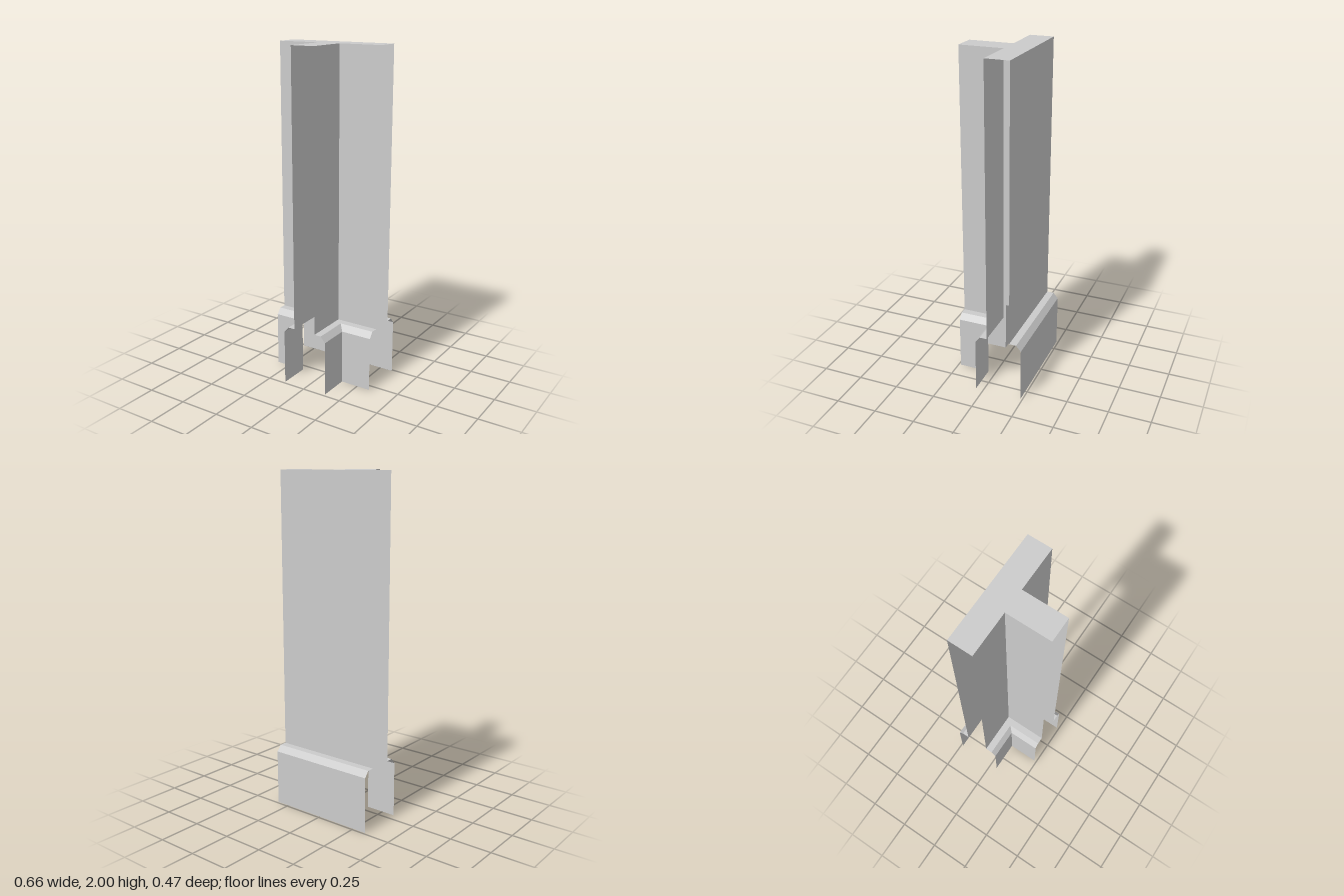
import * as THREE from 'three';

const material = new THREE.MeshStandardMaterial({ color: 0xcccccc, side: THREE.DoubleSide, flatShading: true });

// Plan dimensions of the T: cross wall along x, stem towards +z
const HALF_LENGTH = 0.332, STEM = 0.071, BACK = -0.166, FRONT = -0.025, STEM_END = 0.236;

// Vertical profiles as [distance out from the wall, height]
const wallProfile = [[0, 2], [0, 0.365]];
const skirtingProfile = [[0, 0.365], [0.043, 0.365], [0.072, 0.33], [0.072, 0]];

// Plan paths: x, z and the outward offset direction (diagonal at mitred corners)
const paths = {
  back: [[HALF_LENGTH, BACK, 0, -1], [-HALF_LENGTH, BACK, 0, -1]],
  leftCorner: [[STEM, STEM_END, 1, 0], [STEM, FRONT, 1, 1], [HALF_LENGTH, FRONT, 0, 1]],
  rightCorner: [[-HALF_LENGTH, FRONT, 0, 1], [-STEM, FRONT, -1, 1], [-STEM, STEM_END, -1, 0]],
};

// Sweep a profile along a plan path, with flat faces
function sweep(path, profile, name) {
  const at = (i, j) => {
    const [x, z, dx, dz] = path[i], [out, y] = profile[j];
    return [x + dx * out, y, z + dz * out];
  };
  const positions = [];
  for (let i = 0; i < path.length - 1; i++) {
    for (let j = 0; j < profile.length - 1; j++) {
      const a = at(i, j), b = at(i, j + 1), c = at(i + 1, j + 1), d = at(i + 1, j);
      positions.push(...a, ...b, ...c, ...a, ...c, ...d);
    }
  }
  const geometry = new THREE.BufferGeometry();
  geometry.setAttribute('position', new THREE.Float32BufferAttribute(positions, 3));
  geometry.computeVertexNormals();
  const mesh = new THREE.Mesh(geometry, material);
  mesh.name = name;
  return mesh;
}

export function createModel() {
  const group = new THREE.Group();
  group.name = 'wallJunction';

  // Wall faces and their skirting boards, open at the three ends
  for (const [side, path] of Object.entries(paths)) {
    group.add(sweep(path, wallProfile, side + 'Wall'));
    group.add(sweep(path, skirtingProfile, side + 'Skirting'));
  }

  // T-shaped top cap
  const outline = [
    [-HALF_LENGTH, BACK], [-HALF_LENGTH, FRONT], [-STEM, FRONT], [-STEM, STEM_END],
    [STEM, STEM_END], [STEM, FRONT], [HALF_LENGTH, FRONT], [HALF_LENGTH, BACK],
  ];
  const shape = new THREE.Shape(outline.map(([x, z]) => new THREE.Vector2(x, -z)));
  const cap = new THREE.Mesh(new THREE.ShapeGeometry(shape).rotateX(-Math.PI / 2), material);
  cap.position.y = 2;
  cap.name = 'topCap';
  group.add(cap);

  return group;
}
